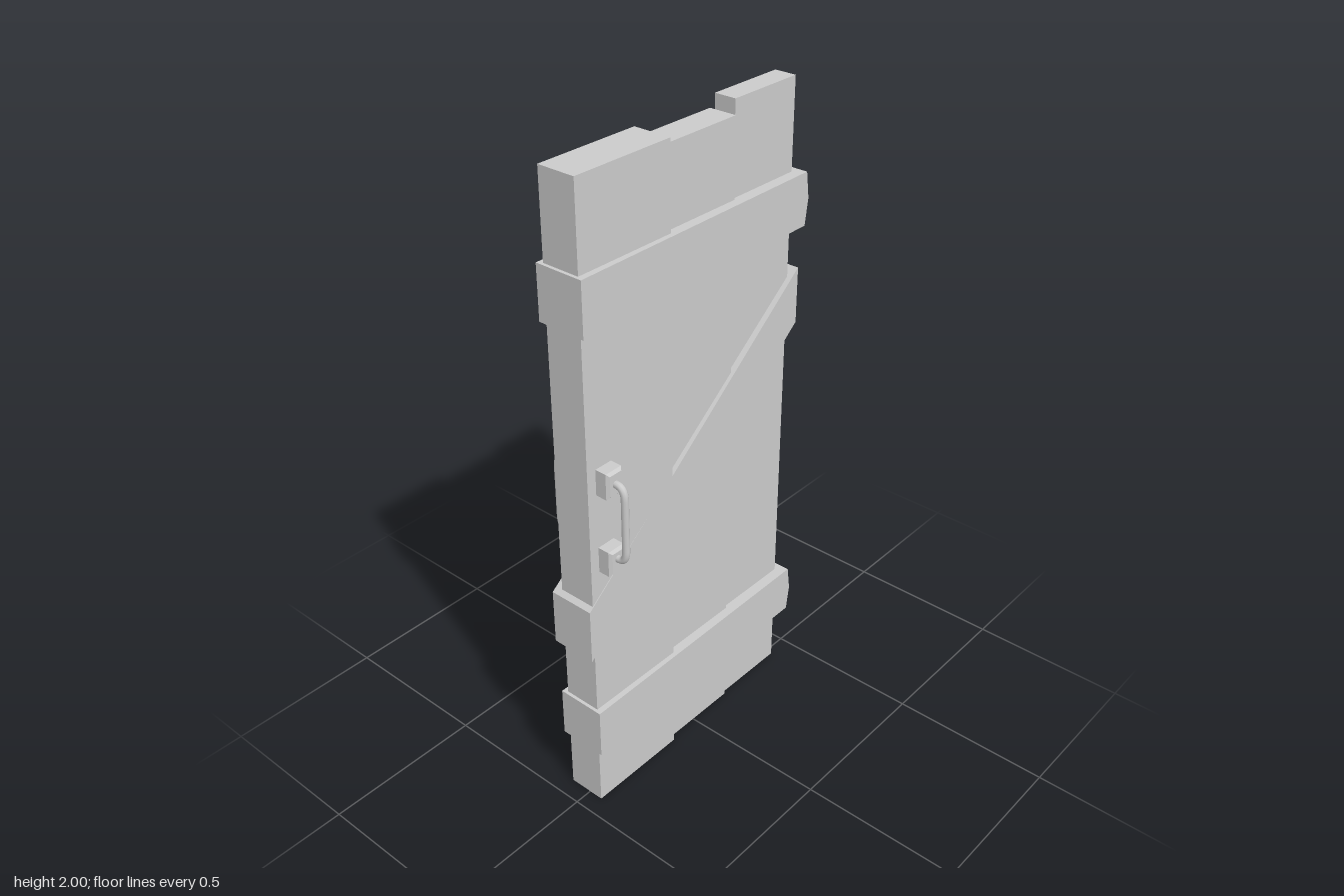
import * as THREE from 'three';

const grey = new THREE.MeshStandardMaterial({ color: 0xcccccc, side: THREE.DoubleSide });
const flat = new THREE.MeshStandardMaterial({ color: 0xcccccc, flatShading: true });

// Side profile of [z, y] points, extruded across x from x = 0 to x = depth
function sideExtrude(profile, options) {
  const shape = new THREE.Shape(profile.map(([z, y]) => new THREE.Vector2(-z, y)));
  return new THREE.ExtrudeGeometry(shape, { bevelEnabled: false, ...options }).rotateY(Math.PI / 2);
}

// Timber whose x range changes evenly from the back end to the front end
function timber(name, profile, backX, frontX) {
  const geometry = sideExtrude(profile, { depth: 1 });
  const p = geometry.attributes.position;
  for (let i = 0; i < p.count; i++) {
    const t = (p.getZ(i) + 0.455) / 0.91;
    const side = p.getX(i) > 0.5 ? 1 : 0;
    p.setX(i, THREE.MathUtils.lerp(backX[side], frontX[side], t));
  }
  geometry.computeVertexNormals();
  const mesh = new THREE.Mesh(geometry, flat);
  mesh.name = name;
  return mesh;
}

// Pull handle facing +x: two bevelled mounts and a bent rod
function pullHandle(name) {
  const group = new THREE.Group();
  group.name = name;
  const b = 0.008;
  for (const [mountName, y0, y1] of [['lowerMount', 0.84, 0.92], ['upperMount', 1.09, 1.17]]) {
    const profile = [[0.353 + b, y0 + b], [0.412 - b, y0 + b], [0.412 - b, y1 - b], [0.353 + b, y1 - b]];
    const geometry = sideExtrude(profile, {
      depth: 0.05, bevelEnabled: true, bevelSize: b, bevelThickness: b, bevelSegments: 1,
    });
    const mount = new THREE.Mesh(geometry, flat);
    mount.name = mountName;
    mount.position.x = 0.032;
    group.add(mount);
  }
  const z = 0.383;
  const v = (x, y) => new THREE.Vector3(x, y, z);
  const path = new THREE.CurvePath();
  path.add(new THREE.LineCurve3(v(0.075, 1.13), v(0.095, 1.13)));
  path.add(new THREE.QuadraticBezierCurve3(v(0.095, 1.13), v(0.121, 1.13), v(0.121, 1.09)));
  path.add(new THREE.LineCurve3(v(0.121, 1.09), v(0.121, 0.93)));
  path.add(new THREE.QuadraticBezierCurve3(v(0.121, 0.93), v(0.121, 0.89), v(0.095, 0.89)));
  path.add(new THREE.LineCurve3(v(0.095, 0.89), v(0.075, 0.89)));
  const rod = new THREE.Mesh(new THREE.TubeGeometry(path, 48, 0.011, 10), grey);
  rod.name = 'rod';
  group.add(rod);
  return group;
}

export function createModel() {
  const door = new THREE.Group();
  door.name = 'plankDoor';

  // Three upright planks, thinner towards the back: [name, z0, z1, height, x0, x1]
  const planks = [
    ['frontPlank', 0.112, 0.443, 1.98, -0.072, 0.046],
    ['middlePlank', -0.158, 0.1, 1.96, -0.056, 0.03],
    ['backPlank', -0.417, -0.165, 2, -0.046, 0.022],
  ];
  for (const [name, z0, z1, h, x0, x1] of planks) {
    const plank = new THREE.Mesh(new THREE.BoxGeometry(x1 - x0, h, z1 - z0), flat);
    plank.position.set((x0 + x1) / 2, h / 2, (z0 + z1) / 2);
    plank.name = name;
    door.add(plank);
  }

  // Horizontal battens with a pointed back end
  for (const [name, y] of [['lowerBatten', 0.28], ['upperBatten', 1.65]]) {
    const profile = [[0.453, y - 0.08], [0.453, y + 0.08], [-0.444, y + 0.08], [-0.456, y], [-0.444, y - 0.08]];
    door.add(timber(name, profile, [-0.076, 0.055], [-0.087, 0.065]));
  }

  // Diagonal brace
  door.add(timber('diagonalBrace',
    [[0.458, 0.55], [0.458, 0.725], [-0.446, 1.435], [-0.446, 1.26]],
    [-0.083, 0.038], [-0.095, 0.049]));

  // Pull handles on both faces
  const rightHandle = pullHandle('leftHandle');
  const leftHandle = pullHandle('rightHandle');
  leftHandle.rotation.y = Math.PI;
  leftHandle.position.set(-0.008, 0, 2 * 0.381);
  door.add(rightHandle, leftHandle);

  return door;
}
